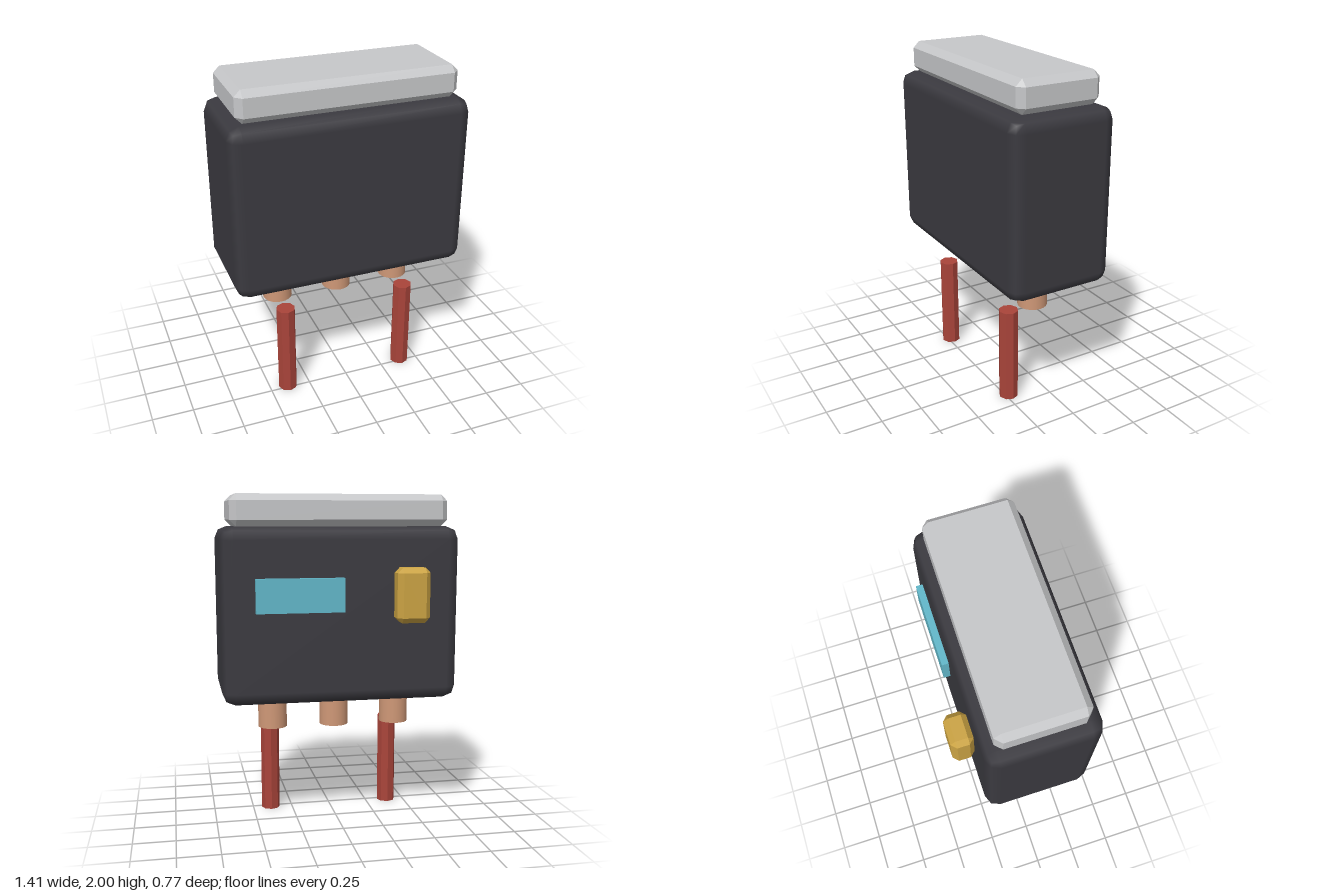
import * as THREE from 'three';
import { RoundedBoxGeometry } from 'three/addons/geometries/RoundedBoxGeometry.js';
import { ConvexGeometry } from 'three/addons/geometries/ConvexGeometry.js';

// Box whose edges and corners are cut by a single chamfer
function chamferBox(w, h, d, c) {
  const points = [];
  for (const sx of [-1, 1]) for (const sy of [-1, 1]) for (const sz of [-1, 1]) {
    for (let axis = 0; axis < 3; axis++) {
      const inset = [0, 1, 2].map((i) => (i === axis ? 0 : c));
      points.push(new THREE.Vector3(
        sx * (w / 2 - inset[0]), sy * (h / 2 - inset[1]), sz * (d / 2 - inset[2])));
    }
  }
  return new ConvexGeometry(points);
}

export function createModel() {
  const group = new THREE.Group();
  group.name = 'device';

  const material = (name, color) => {
    const m = new THREE.MeshStandardMaterial({ color });
    m.name = name;
    return m;
  };
  const charcoal = material('charcoal', 0x3b3a40);
  const silver = material('silver', 0xc6c7c9);
  const gold = material('gold', 0xcba343);
  const cyan = material('cyan', 0x62b8ca);
  const copper = material('copper', 0xcf9877);
  const red = material('red', 0xa9443a);

  const add = (name, geometry, mat, x, y, z) => {
    const mesh = new THREE.Mesh(geometry, mat);
    mesh.name = name;
    mesh.position.set(x, y, z);
    group.add(mesh);
  };

  // Housing with softly rounded edges, and the chamfered lid on top
  add('housing', new RoundedBoxGeometry(1.415, 1.034, 0.642, 1, 0.075), charcoal, 0, 1.297, 0.063);
  add('lid', chamferBox(1.29, 0.186, 0.514, 0.038), silver, 0, 1.907, 0.06);

  // Details on the back
  add('latch', chamferBox(0.195, 0.319, 0.13, 0.03), gold, -0.39, 1.422, -0.323);
  add('displayPanel', new THREE.BoxGeometry(0.513, 0.197, 0.045), cyan, 0.257, 1.425, -0.275);

  // Connectors under the housing
  const connector = new THREE.CylinderGeometry(0.089, 0.089, 0.2, 20);
  for (const x of [-0.387, 0, 0.387]) add('connector', connector, copper, x, 0.685, 0.065);

  // Eight-sided rods standing forward of the outer connectors
  const rod = new THREE.CylinderGeometry(0.058, 0.058, 0.585, 8).toNonIndexed();
  rod.computeVertexNormals();
  for (const x of [-0.387, 0.387]) add('rod', rod, red, x, 0.2925, 0.228);

  return group;
}
